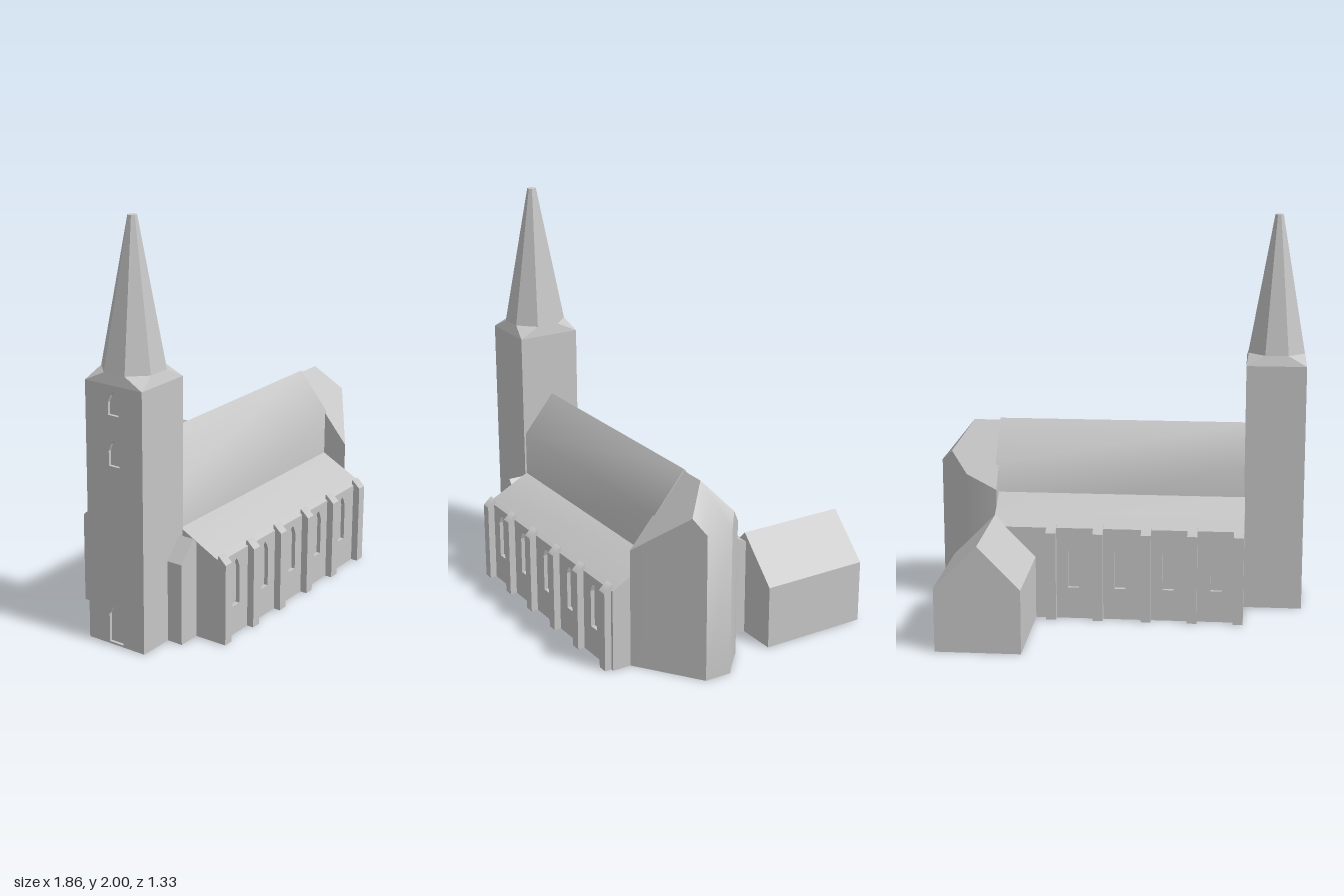
import * as THREE from 'three';
import { toCreasedNormals } from 'three/addons/utils/BufferGeometryUtils.js';
import { ConvexGeometry } from 'three/addons/geometries/ConvexGeometry.js';

const CREASE = 0.75;

// Prism along x from a [z, y] profile
function prismX(profile, x0, x1) {
  const shape = new THREE.Shape(profile.map(([z, y]) => new THREE.Vector2(-z, y)));
  const geo = new THREE.ExtrudeGeometry(shape, { depth: x1 - x0, bevelEnabled: false });
  return toCreasedNormals(geo.rotateY(Math.PI / 2).translate(x0, 0, 0), CREASE);
}

// Prism along z from an [x, y] profile
function prismZ(profile, z0, z1) {
  const shape = new THREE.Shape(profile.map(([x, y]) => new THREE.Vector2(x, y)));
  return new THREE.ExtrudeGeometry(shape, { depth: z1 - z0, bevelEnabled: false }).translate(0, 0, z0);
}

// Pointed window opening
function lancet(cx, y0, w, h) {
  const r = w / 2;
  return new THREE.Path([[-r, 0], [r, 0], [r, h - 0.05], [r * 0.5, h - 0.015], [0, h], [-r * 0.5, h - 0.015], [-r, h - 0.05]]
    .map(([x, y]) => new THREE.Vector2(cx + x, y0 + y)));
}

// Wall skin facing +z with openings; its outer top edge can drop to follow the roof
function wallSkin(x0, x1, top, depth, openings, drop = 0) {
  const shape = new THREE.Shape([[x0, 0], [x1, 0], [x1, top], [x0, top]].map(([x, y]) => new THREE.Vector2(x, y)));
  shape.holes = openings;
  const geo = new THREE.ExtrudeGeometry(shape, { depth, bevelEnabled: false });
  const p = geo.attributes.position;
  for (let i = 0; i < p.count; i++) {
    if (p.getY(i) > top - 0.001 && p.getZ(i) > depth / 2) p.setY(i, top - drop);
  }
  geo.computeVertexNormals();
  return geo;
}

// Solid from planar polygons, each split as a fan
function fromPolygons(polygons) {
  const pos = [];
  for (const poly of polygons) {
    for (let i = 1; i < poly.length - 1; i++) pos.push(...poly[0], ...poly[i], ...poly[i + 1]);
  }
  const geo = new THREE.BufferGeometry();
  geo.setAttribute('position', new THREE.Float32BufferAttribute(pos, 3));
  geo.computeVertexNormals();
  return toCreasedNormals(geo, CREASE);
}

export function createModel() {
  const model = new THREE.Group();
  model.name = 'church';
  const stone = new THREE.MeshStandardMaterial({ color: 0xc6c6c6 });
  stone.name = 'paleGreyStone';
  const add = (name, geo) => {
    const mesh = new THREE.Mesh(geo, stone);
    mesh.name = name;
    model.add(mesh);
    return mesh;
  };

  // Tower with a pierced west face
  const tx = -0.78, tz = 0.26;
  add('tower', new THREE.BoxGeometry(0.285, 1.26, 0.32).translate(-0.7725, 0.63, tz));
  const towerOpenings = [lancet(tz, 0.01, 0.08, 0.19), lancet(tz, 0.88, 0.06, 0.12), lancet(tz, 1.12, 0.06, 0.11)];
  add('towerWestFace', wallSkin(0.10, 0.42, 1.26, 0.015, towerOpenings)
    .rotateY(-Math.PI / 2).translate(-0.915, 0, 0));

  // Square-to-octagon broach and tapering spire
  const broach = [];
  for (const x of [-0.15, 0.15]) for (const z of [-0.16, 0.16]) broach.push(new THREE.Vector3(tx + x, 1.26, tz + z));
  for (let i = 0; i < 8; i++) {
    const a = (i + 0.5) * Math.PI / 4;
    broach.push(new THREE.Vector3(tx + 0.152 * Math.cos(a), 1.31, tz + 0.152 * Math.sin(a)));
  }
  add('spireBroach', new ConvexGeometry(broach));
  const spire = new THREE.CylinderGeometry(0.022, 0.152, 0.69, 8).rotateY(Math.PI / 8).toNonIndexed();
  spire.computeVertexNormals();
  add('spire', spire.translate(tx, 1.655, tz));

  // Nave and aisles
  add('nave', prismX([[0.41, 0.4], [0.41, 0.745], [0.25, 0.94], [0.08, 0.745], [0.08, 0.4]], -0.63, 0.635));
  add('aisles', prismX([[0.61, 0], [0.61, 0.421], [0.41, 0.525], [0.08, 0.59], [-0.12, 0.481], [-0.12, 0]], -0.635, 0.62));

  // Aisle walls with recessed pointed windows
  const windowXs = [-0.5, -0.26, -0.02, 0.215, 0.445];
  add('frontAisleWall', wallSkin(-0.635, 0.62, 0.421, 0.02,
    windowXs.map((x) => lancet(x, 0.145, 0.055, 0.235)), 0.011).translate(0, 0, 0.61));
  add('backAisleWall', wallSkin(-0.62, 0.635, 0.481, 0.02,
    windowXs.slice(0, 4).map((x) => lancet(-x, 0.16, 0.055, 0.235)), 0.011)
    .rotateY(Math.PI).translate(0, 0, -0.12));

  // Buttresses with sloped caps on both sides
  [-0.61, -0.38, -0.15, 0.09, 0.325, 0.58].forEach((x, i) => {
    add('frontButtress', prismX([[0.62, 0], [0.665, 0], [0.665, 0.4], [0.625, 0.437], [0.62, 0.437]], x - 0.025, x + 0.025));
    if (i < 5) {
      add('backButtress', prismX([[-0.13, 0], [-0.175, 0], [-0.175, 0.45], [-0.135, 0.485], [-0.13, 0.485]], x - 0.025, x + 0.025));
    }
  });

  // Gabled lean-in beside the tower
  add('sidePorch', prismZ([[-0.75, 0], [-0.6, 0], [-0.6, 0.435], [-0.66, 0.5], [-0.75, 0.4]], 0.4, 0.5));

  // Apse: walls rise to meet two roof slopes and a hipped end
  const ridgeY = 0.93;
  const roofY = (x, z) => Math.min(ridgeY - 1.18 * Math.abs(z - 0.25), ridgeY - 1.25 * (x - 0.77));
  const plan = [[0.62, 0.535], [0.87, 0.358], [0.93, 0.315], [0.93, 0.18], [0.87, 0.13], [0.78, 0.045], [0.62, -0.01]];
  const low = plan.map(([x, z]) => [x, 0, z]);
  const top = plan.map(([x, z]) => [x, roofY(x, z), z]);
  const ridgeWest = [0.62, ridgeY, 0.25], ridgeEast = [0.77, ridgeY, 0.25];
  const faces = plan.map((_, i) => {
    const j = (i + 1) % plan.length;
    return [low[i], low[j], top[j], top[i]];
  });
  faces.push(
    [top[0], top[1], ridgeEast, ridgeWest],
    [ridgeEast, top[1], top[2], top[3], top[4]],
    [ridgeEast, top[4], top[5], top[6], ridgeWest],
    [top[6], top[0], ridgeWest],
    [...low].reverse(),
  );
  add('apse', fromPolygons(faces));

  // Gabled annex behind the aisle
  add('annex', prismZ([[0.405, 0], [0.82, 0], [0.82, 0.315], [0.61, 0.525], [0.405, 0.315]], -0.668, -0.118));

  return model;
}
